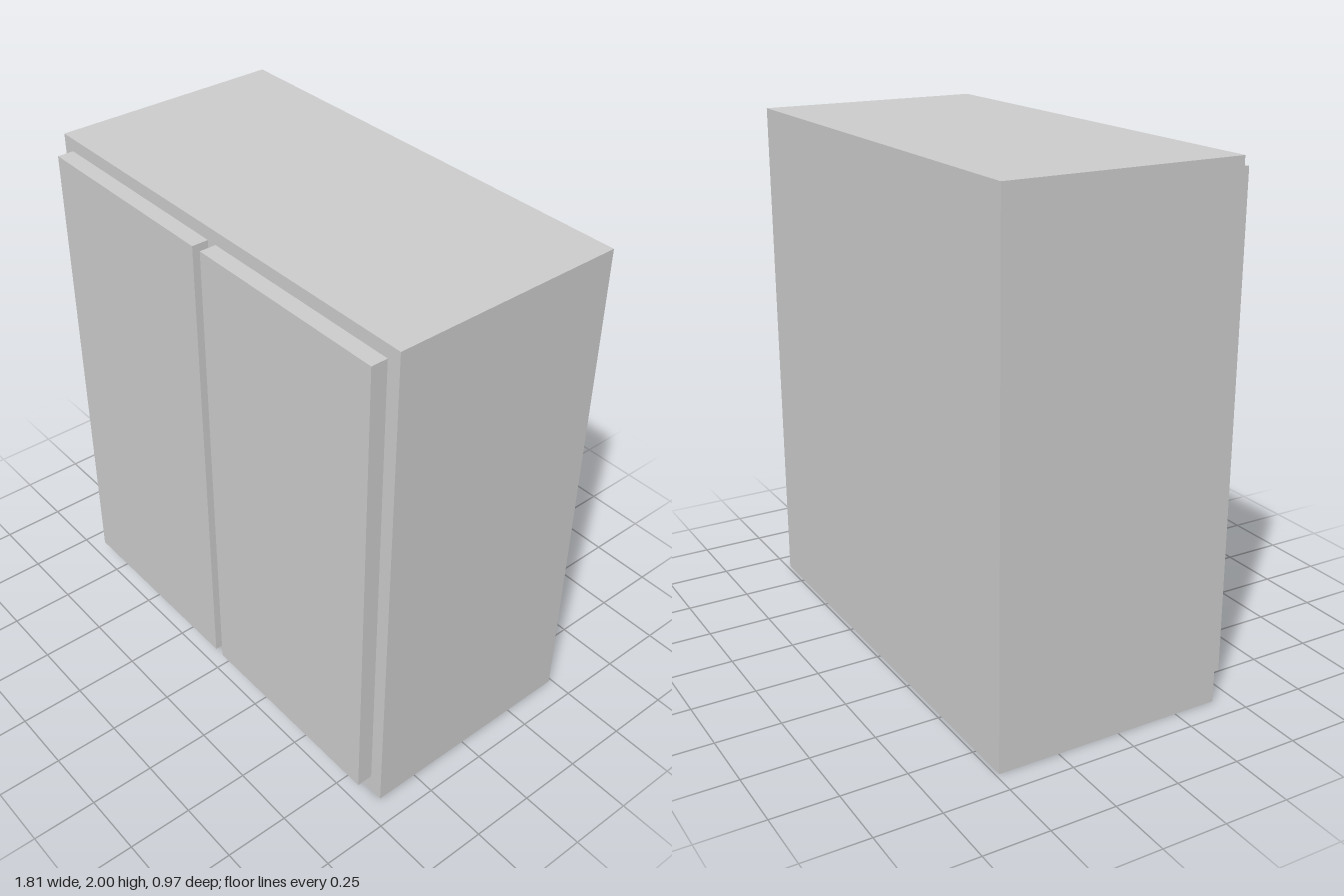
import * as THREE from 'three';

const material = new THREE.MeshStandardMaterial({ color: 0xcccccc, flatShading: true });

// Box given by its minimum and maximum corners
function block(name, [x0, y0, z0], [x1, y1, z1]) {
  const mesh = new THREE.Mesh(new THREE.BoxGeometry(x1 - x0, y1 - y0, z1 - z0), material);
  mesh.position.set((x0 + x1) / 2, (y0 + y1) / 2, (z0 + z1) / 2);
  mesh.name = name;
  return mesh;
}

export function createModel() {
  const cabinet = new THREE.Group();
  cabinet.name = 'cabinet';

  // Carcass
  cabinet.add(block('carcass', [-0.907, 0, -0.487], [0.907, 2, 0.421]));

  // Pair of overlay doors, just clear of the carcass
  cabinet.add(block('rightDoor', [-0.852, 0.082, 0.424], [-0.021, 1.952, 0.487]));
  cabinet.add(block('leftDoor', [0.021, 0.082, 0.424], [0.857, 1.952, 0.487]));

  // Hinge knuckles: small bevelled prisms beside the right door
  const hinge = new THREE.Group();
  hinge.name = 'hinge';
  const profile = new THREE.Shape([
    [-0.872, -0.42], [-0.85, -0.42], [-0.85, -0.443], [-0.872, -0.431],
  ].map(([x, y]) => new THREE.Vector2(x, y)));
  for (const [bottom, top] of [[1.64, 1.699], [1.704, 1.76], [1.766, 1.83]]) {
    const geometry = new THREE.ExtrudeGeometry(profile, { depth: top - bottom, bevelEnabled: false });
    geometry.rotateX(-Math.PI / 2);
    const knuckle = new THREE.Mesh(geometry, material);
    knuckle.position.y = bottom;
    knuckle.name = 'hingeKnuckle';
    hinge.add(knuckle);
  }
  cabinet.add(hinge);

  return cabinet;
}
